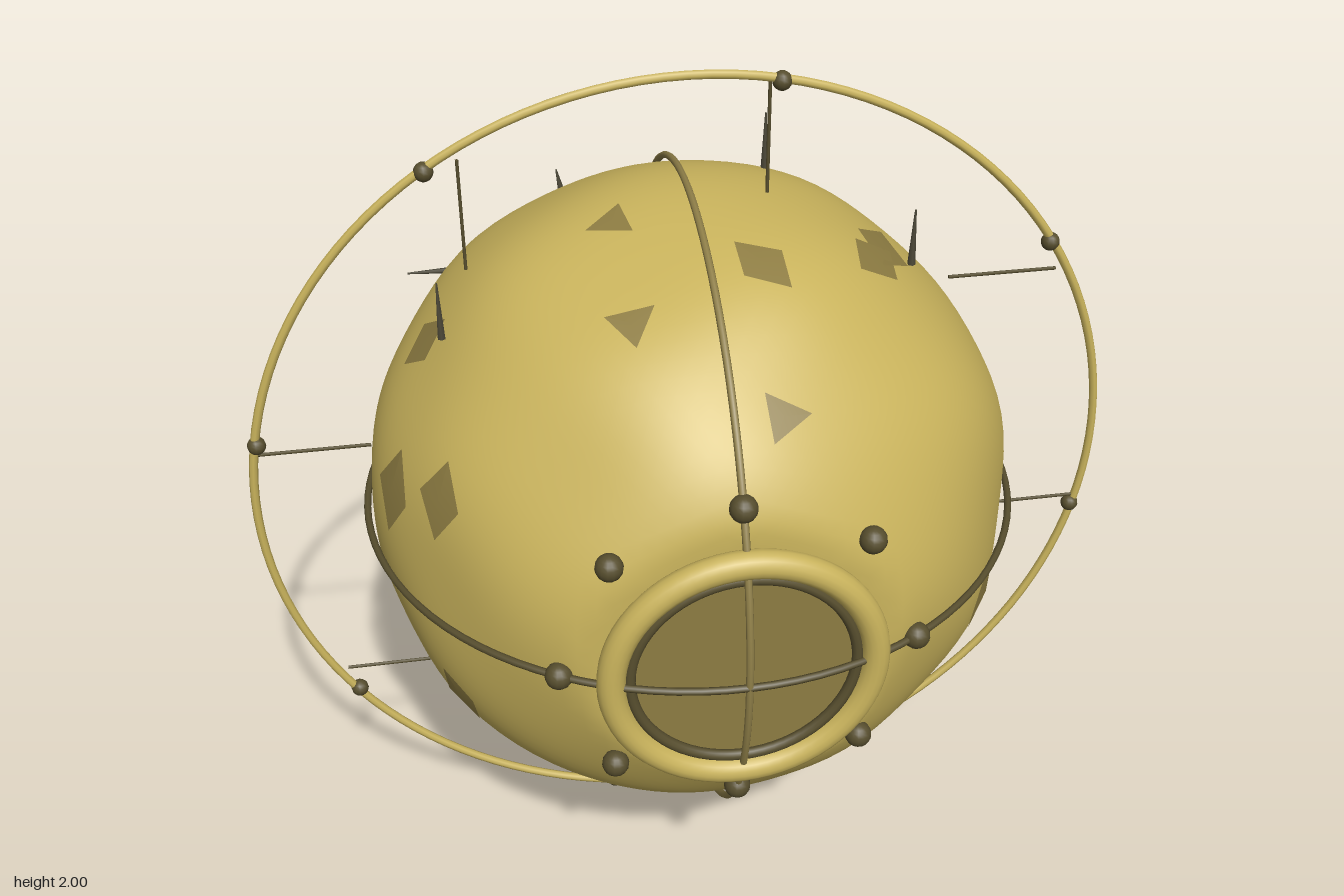
import * as THREE from 'three';
import { mergeVertices } from 'three/addons/utils/BufferGeometryUtils.js';

const mat = (color, side = THREE.FrontSide) => new THREE.MeshStandardMaterial({ color, side });
const GOLD = mat(0xc9b35c), BRONZE = mat(0x8f7f48), DARK = mat(0x574e2e), SPINE = mat(0x4c4838);
const PATCH = mat(0x8d7c42, THREE.DoubleSide);
const FRONT = 0.655; // the shell is cut flat here for the porthole

// Gently dented sphere, flattened at the front
function onShell(dir, lift = 0) {
  const { x, y, z } = dir;
  const n = Math.sin(7 * x + 2 * y + 1) * Math.sin(6 * y - 3 * z) + 0.6 * Math.sin(9 * z + 4 * x) * Math.cos(8 * y + 2);
  const p = dir.clone().multiplyScalar(0.731 + 0.008 * n + lift);
  p.z = Math.min(p.z, FRONT + lift);
  return p;
}

function moveVertices(geo, rule) {
  const pos = geo.attributes.position, v = new THREE.Vector3();
  for (let i = 0; i < pos.count; i++) {
    const p = rule(v.fromBufferAttribute(pos, i));
    pos.setXYZ(i, p.x, p.y, p.z);
  }
  geo.computeVertexNormals();
  return geo;
}

export function createModel() {
  const model = new THREE.Group();
  const body = new THREE.Group();
  body.name = 'body';
  body.position.y = 1;
  model.add(body);

  const add = (name, geo, material, x = 0, y = 0, z = 0) => {
    const mesh = new THREE.Mesh(geo, material);
    mesh.name = name;
    mesh.position.set(x, y, z);
    body.add(mesh);
    return mesh;
  };

  // Shell
  const ball = new THREE.IcosahedronGeometry(1, 20);
  ball.deleteAttribute('normal');
  ball.deleteAttribute('uv');
  add('shell', moveVertices(mergeVertices(ball, 1e-4), (v) => onShell(v.clone().normalize())), GOLD);

  // Dark patches lying on the shell: small ones are triangles, larger ones have more sides
  const addPatches = (yaw, pitch, spots) => {
    const turn = new THREE.Euler(-THREE.MathUtils.degToRad(pitch), THREE.MathUtils.degToRad(yaw), 0, 'YXZ');
    spots.forEach(([u, v, radius], i) => {
      const w = Math.sqrt(Math.max(0, 0.54 - u * u - v * v));
      const centre = new THREE.Vector3(u, v, w).applyEuler(turn).normalize();
      const facing = new THREE.Quaternion().setFromUnitVectors(new THREE.Vector3(0, 0, 1), centre);
      const sides = radius < 0.07 ? 3 : radius < 0.12 ? 4 : 6;
      const geo = new THREE.CircleGeometry(radius / 0.735, sides).scale(1, sides > 3 ? 0.7 : 1, 1).rotateZ(i * 0.7);
      moveVertices(geo, (p) => onShell(p.applyQuaternion(facing).add(centre).normalize(), 0.005));
      add('patch', geo, PATCH);
    });
  };
  addPatches(0, 0, [[0.1, 0.5, 0.06], [0.42, 0.6, 0.1], [-0.67, 0.2, 0.1], [-0.57, -0.24, 0.08], [0.04, -0.68, 0.08]]);
  addPatches(90, 0, [[0.1, 0.1, 0.16], [-0.4, -0.1, 0.1], [0.05, -0.04, 0.06], [0.14, -0.44, 0.07], [0.47, -0.43, 0.11], [0.58, 0.38, 0.1]]);
  addPatches(0, 90, [[0.04, 0.67, 0.11], [0.28, 0.57, 0.09], [-0.17, -0.06, 0.06], [0.11, -0.25, 0.08], [-0.17, -0.34, 0.06], [0.38, -0.14, 0.09]]);
  addPatches(225, 27, [[-0.55, 0.22, 0.1], [0.44, 0.23, 0.08], [0.67, 0.17, 0.09], [-0.36, -0.44, 0.13], [0.25, -0.38, 0.13], [-0.02, -0.58, 0.11]]);
  addPatches(135, -27, [[-0.46, 0.36, 0.13], [-0.05, 0.22, 0.1], [0.16, 0.62, 0.08], [-0.02, -0.09, 0.1], [0.43, 0, 0.14]]);

  // Bands around the shell
  add('equatorBand', new THREE.TorusGeometry(0.744, 0.008, 8, 96).rotateX(Math.PI / 2), DARK);
  add('meridianBand', new THREE.TorusGeometry(0.744, 0.008, 8, 96).rotateY(Math.PI / 2), BRONZE);

  // Porthole with its ring of bolts
  add('portholeRim', new THREE.TorusGeometry(0.273, 0.03, 16, 64), GOLD, 0, 0, 0.69);
  add('portholeInnerRing', new THREE.TorusGeometry(0.235, 0.012, 10, 64), DARK, 0, 0, 0.69);
  add('portholeGlass', new THREE.CircleGeometry(0.245, 48), PATCH, 0, 0, 0.668);
  for (let i = 0; i < 8; i++) {
    const a = (i * Math.PI) / 4;
    add('bolt', new THREE.SphereGeometry(0.029, 14, 10), DARK, 0.373 * Math.cos(a), 0.373 * Math.sin(a), 0.643);
  }

  // Outer hoop with beads and upright or level struts
  add('hoop', new THREE.TorusGeometry(0.99, 0.01, 8, 128), GOLD);
  for (let i = 0; i < 8; i++) {
    const a = (i * Math.PI) / 4 - 0.2, c = Math.cos(a), s = Math.sin(a);
    add('hoopBead', new THREE.SphereGeometry(0.021, 12, 8), DARK, 0.985 * c, 0.985 * s, 0);
    const strut = add('strut', new THREE.CylinderGeometry(0.004, 0.004, 0.25, 6), DARK, 0.86 * c, 0.86 * s, 0);
    if (Math.abs(c) > Math.abs(s)) strut.rotation.z = Math.PI / 2;
  }

  // Small spines, each along one axis and pointing outward
  const addSpines = (axis, spots) => spots.forEach((spot) => {
    const spine = add('spine', new THREE.CylinderGeometry(0.002, 0.009, 0.13, 6), SPINE, ...spot);
    const out = new THREE.Vector3();
    out[axis] = Math.sign(spine.position[axis]);
    spine.quaternion.setFromUnitVectors(new THREE.Vector3(0, 1, 0), out);
  });
  addSpines('x', [[-0.54, 0.34, -0.47], [-0.56, -0.53, -0.05]]);
  addSpines('y', [[-0.54, 0.57, 0.13], [0.48, 0.62, 0.07], [0.21, 0.74, -0.21], [0.47, -0.55, -0.31], [0.2, -0.65, -0.4]]);
  addSpines('z', [[-0.22, 0.5, -0.58], [0.44, -0.27, -0.6], [0.49, -0.24, -0.57], [0.47, -0.36, -0.53], [-0.1, -0.525, -0.575]]);
  return model;
}
